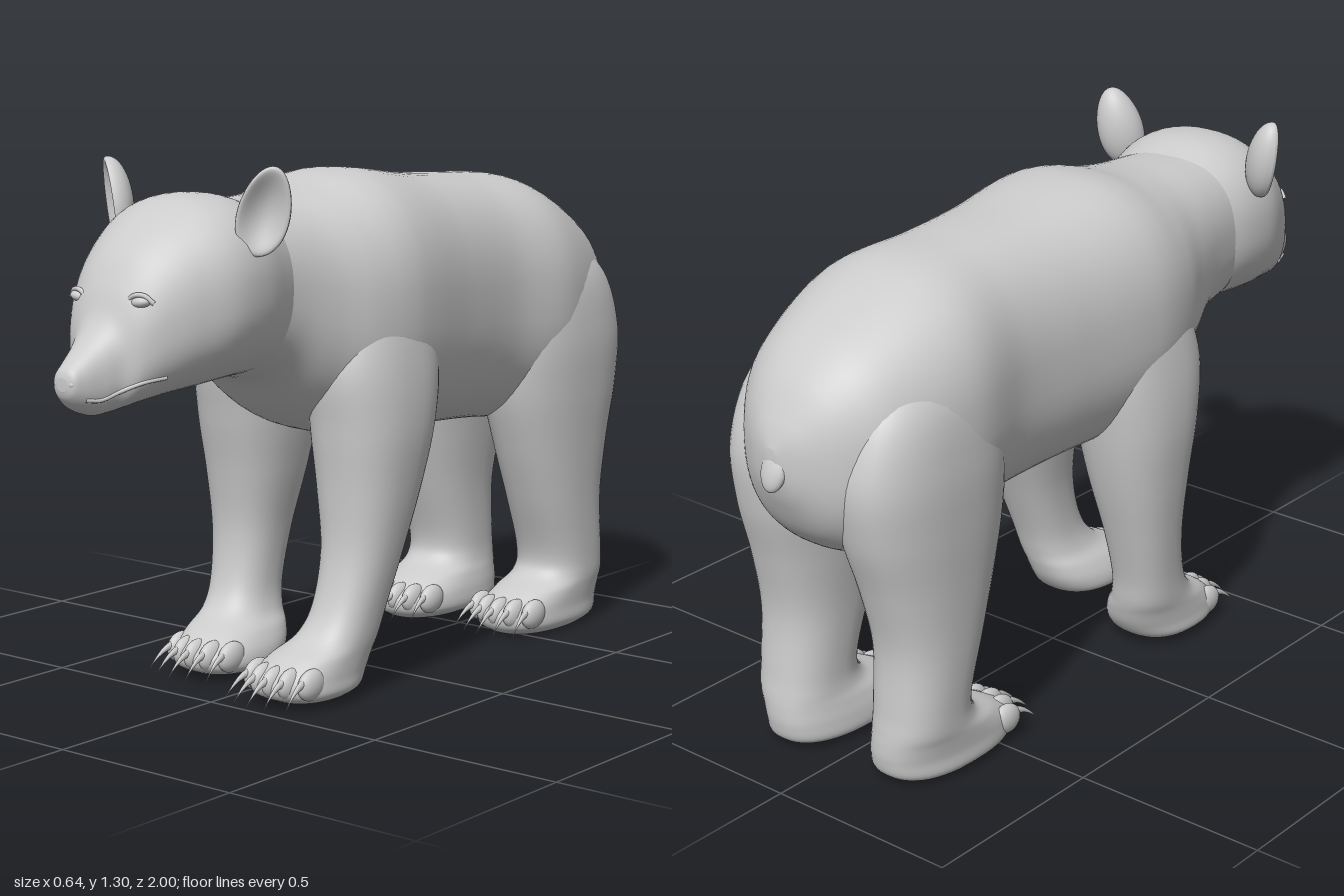
import * as THREE from 'three';

const material = new THREE.MeshStandardMaterial({ color: 0xcccccc });

function addMesh(parent, name, geometry) {
  const mesh = new THREE.Mesh(geometry, material);
  mesh.name = name;
  parent.add(mesh);
  return mesh;
}

// Smooth interpolation of key rows at u in 0..1
function sample(keys, u) {
  const f = u * (keys.length - 1), i = Math.min(Math.floor(f), keys.length - 2), t = f - i;
  const at = (n) => keys[Math.max(0, Math.min(keys.length - 1, n))];
  const [p, q, r, s] = [at(i - 1), at(i), at(i + 1), at(i + 2)];
  return q.map((v, k) => {
    const m0 = (r[k] - p[k]) / 2, m1 = (s[k] - v) / 2, d = r[k] - v;
    return v + t * (m0 + t * (3 * d - 2 * m0 - m1 + t * (m0 + m1 - 2 * d)));
  });
}

// Superellipse rings; a key is [position, xMin, xMax, otherMin, otherMax].
// Along 'z' keys ascend and other = y; along 'y' keys descend and other = z.
function loft(keys, axis, power = 2.3, rows = 64, sides = 48) {
  const pos = [], index = [];
  const put = (x, o, t) => (axis === 'z' ? pos.push(x, o, t) : pos.push(x, t, o));
  const bend = (v) => Math.sign(v) * Math.abs(v) ** (2 / power);
  for (let i = 0; i <= rows; i++) {
    const [t, x0, x1, o0, o1] = sample(keys, i / rows);
    for (let j = 0; j < sides; j++) {
      const a = (j / sides) * Math.PI * 2;
      put((x0 + x1) / 2 + ((x1 - x0) / 2) * bend(Math.cos(a)),
        (o0 + o1) / 2 + ((o1 - o0) / 2) * bend(Math.sin(a)), t);
    }
  }
  for (let i = 0; i < rows; i++) for (let j = 0; j < sides; j++) {
    const a = i * sides + j, b = i * sides + ((j + 1) % sides), c = a + sides, d = b + sides;
    index.push(a, b, d, a, d, c);
  }
  // End caps
  for (const [key, row] of [[keys[0], 0], [keys[keys.length - 1], rows]]) {
    const centre = pos.length / 3;
    put((key[1] + key[2]) / 2, (key[3] + key[4]) / 2, key[0]);
    for (let j = 0; j < sides; j++) {
      const a = row * sides + j, b = row * sides + ((j + 1) % sides);
      row ? index.push(centre, a, b) : index.push(centre, b, a);
    }
  }
  const g = new THREE.BufferGeometry();
  g.setAttribute('position', new THREE.Float32BufferAttribute(pos, 3));
  g.setIndex(index);
  g.computeVertexNormals();
  return g;
}

function ellipsoid(parent, name, size, place, rx = 0, rz = 0) {
  const m = addMesh(parent, name, new THREE.SphereGeometry(1, 20, 14));
  m.scale.set(...size);
  m.position.set(...place);
  m.rotation.set(rx, 0, rz);
  return m;
}

// Symmetric key: [z, bottom, top, half width]
const zKeys = (rows) => rows.map(([z, b, t, w]) => [z, -w, w, b, t]);

const torsoKeys = zKeys([
  [-0.985, 0.81, 0.87, 0.015], [-0.96, 0.73, 0.935, 0.085], [-0.9, 0.63, 1.03, 0.17],
  [-0.8, 0.57, 1.11, 0.24], [-0.6, 0.56, 1.2, 0.285], [-0.4, 0.575, 1.218, 0.258],
  [-0.2, 0.585, 1.23, 0.27], [0, 0.59, 1.255, 0.297], [0.1, 0.605, 1.25, 0.3],
  [0.2, 0.635, 1.225, 0.28], [0.3, 0.69, 1.21, 0.24], [0.4, 0.77, 1.205, 0.21], [0.52, 0.8, 1.2, 0.19],
]);

const headKeys = zKeys([
  [0.35, 0.82, 1.17, 0.16], [0.45, 0.8, 1.205, 0.195], [0.55, 0.797, 1.23, 0.222],
  [0.65, 0.79, 1.222, 0.222], [0.74, 0.782, 1.175, 0.188], [0.81, 0.772, 1.115, 0.15],
  [0.855, 0.764, 1.045, 0.116], [0.885, 0.758, 0.975, 0.08], [0.92, 0.757, 0.93, 0.062],
  [0.965, 0.775, 0.89, 0.045], [0.99, 0.8, 0.868, 0.033], [0.998, 0.82, 0.85, 0.015],
]);

// Leg keys: [y, inner x, outer x, back z, front z]
const frontLegKeys = [
  [1.08, 0.13, 0.2, 0.02, 0.14], [0.95, 0.08, 0.272, -0.05, 0.23], [0.8, 0.05, 0.308, -0.08, 0.285],
  [0.65, 0.055, 0.318, -0.05, 0.275], [0.5, 0.075, 0.305, 0.0, 0.262], [0.35, 0.1, 0.286, 0.06, 0.262],
  [0.22, 0.105, 0.27, 0.11, 0.295], [0.15, 0.09, 0.264, 0.13, 0.345], [0.11, 0.06, 0.262, 0.14, 0.42],
  [0.07, 0.04, 0.262, 0.155, 0.468], [0.035, 0.04, 0.262, 0.18, 0.465], [0.016, 0.07, 0.24, 0.21, 0.43],
];
const hindLegKeys = [
  [1.06, 0.08, 0.18, -0.72, -0.56], [0.95, 0.05, 0.265, -0.85, -0.48], [0.8, 0.03, 0.293, -0.91, -0.44],
  [0.65, 0.03, 0.293, -0.9, -0.45], [0.5, 0.045, 0.284, -0.86, -0.495], [0.35, 0.06, 0.275, -0.832, -0.55],
  [0.2, 0.064, 0.268, -0.842, -0.605], [0.14, 0.06, 0.266, -0.85, -0.59], [0.105, 0.05, 0.264, -0.853, -0.51],
  [0.065, 0.04, 0.262, -0.852, -0.445], [0.025, 0.04, 0.262, -0.84, -0.445], [0.003, 0.07, 0.24, -0.8, -0.48],
];

// Tapered claw curving forward and down
function clawGeometry() {
  const g = new THREE.ConeGeometry(0.01, 0.085, 8, 6);
  g.rotateX(Math.PI / 2).translate(0, 0, 0.0425);
  const p = g.attributes.position;
  for (let i = 0; i < p.count; i++) p.setY(i, p.getY(i) * 1.3 - 7 * p.getZ(i) ** 2);
  g.computeVertexNormals();
  return g;
}

// Leg with paw, toes and claws; the foot may be shifted to vary the stance
function addLeg(parent, name, keys, side, footX, footZ) {
  const leg = new THREE.Group();
  leg.name = name;
  const rows = keys.map(([y, i, o, b, f]) => {
    const k = Math.min(1, Math.max(0, (0.75 - y) / 0.6));
    const x = [side * i + k * footX, side * o + k * footX].sort((p, q) => p - q);
    return [y, ...x, b + k * footZ, f + k * footZ];
  });
  addMesh(leg, 'limb', loft(rows, 'y', 2.35));
  const [y, x0, x1, , front] = rows[rows.length - 3];
  for (let n = -2; n <= 2; n++) {
    const x = (x0 + x1) / 2 + n * 0.042, z = front - 0.03 - 0.008 * n * n;
    ellipsoid(leg, 'toe', [0.023, 0.038, 0.045], [x, y - 0.004, z], 0.2);
    const claw = addMesh(leg, 'claw', clawGeometry());
    claw.position.set(x, y + 0.006, z + 0.022);
    claw.rotation.y = n * 0.06;
  }
  parent.add(leg);
}

// Rounded ear hollowed on its front face
function earGeometry() {
  const g = new THREE.SphereGeometry(1, 32, 24);
  const p = g.attributes.position;
  for (let i = 0; i < p.count; i++) {
    const x = p.getX(i), y = p.getY(i), z = p.getZ(i), r2 = x * x + y * y;
    const hollow = z > 0 ? z - 1.35 * Math.max(0, 1 - r2) : z;
    p.setXYZ(i, x * (0.06 - 0.008 * y), y * 0.105, hollow * 0.048);
  }
  g.computeVertexNormals();
  return g;
}

// Point on the side of the head at a given z and y
function cheekPoint(side, z, y) {
  let lo = 0, hi = 1;
  for (let i = 0; i < 30; i++) {
    const mid = (lo + hi) / 2;
    sample(headKeys, mid)[0] < z ? (lo = mid) : (hi = mid);
  }
  const [, , w, b, t] = sample(headKeys, lo);
  const rel = Math.min(1, Math.abs((2 * y - b - t) / (t - b)));
  return new THREE.Vector3(side * w * (1 - rel ** 2.3) ** (1 / 2.3), y, z);
}

export function createModel() {
  const bear = new THREE.Group();
  bear.name = 'bear';
  addMesh(bear, 'torso', loft(torsoKeys, 'z', 2.4, 90, 64));
  ellipsoid(bear, 'tail', [0.036, 0.055, 0.02], [0, 0.82, -0.974], 0.35);

  addLeg(bear, 'frontLegLeft', frontLegKeys, 1, 0, 0);
  addLeg(bear, 'frontLegRight', frontLegKeys, -1, -0.015, -0.075);
  addLeg(bear, 'hindLegLeft', hindLegKeys, 1, 0, 0);
  addLeg(bear, 'hindLegRight', hindLegKeys, -1, -0.01, 0.03);

  // Head, set slightly to the left
  const head = new THREE.Group();
  head.name = 'head';
  head.position.x = 0.016;
  addMesh(head, 'skull', loft(headKeys, 'z', 2.3, 90, 64));
  ellipsoid(head, 'nosePad', [0.036, 0.022, 0.024], [0, 0.846, 0.974], 0.5);
  for (const side of [-1, 1]) {
    const ear = addMesh(head, 'ear', earGeometry());
    ear.position.set(side * 0.234, 1.2, 0.585);
    ear.rotation.set(-0.1, side * 0.65, side * -0.32, 'ZYX');
    ellipsoid(head, 'eye', [0.027, 0.014, 0.02], [side * 0.093, 1.01, 0.84], 0, side * 0.12);
    const brow = [[-0.034, -0.004], [-0.012, 0.014], [0.014, 0.015], [0.034, -0.002]].map(([x, y]) =>
      new THREE.Vector3(side * (0.093 + x), 1.01 + y, 0.852 - Math.max(0, x) * 0.5));
    addMesh(head, 'eyelid', new THREE.TubeGeometry(new THREE.CatmullRomCurve3(brow), 16, 0.006, 8));
    ellipsoid(head, 'nostril', [0.009, 0.008, 0.008], [side * 0.022, 0.836, 0.989]);
    const lip = [[0.965, 0.8], [0.93, 0.797], [0.89, 0.812], [0.85, 0.832], [0.8, 0.84]]
      .map(([z, y]) => cheekPoint(side, z, y));
    addMesh(head, 'lip', new THREE.TubeGeometry(new THREE.CatmullRomCurve3(lip), 24, 0.005, 8));
  }
  bear.add(head);
  return bear;
}
